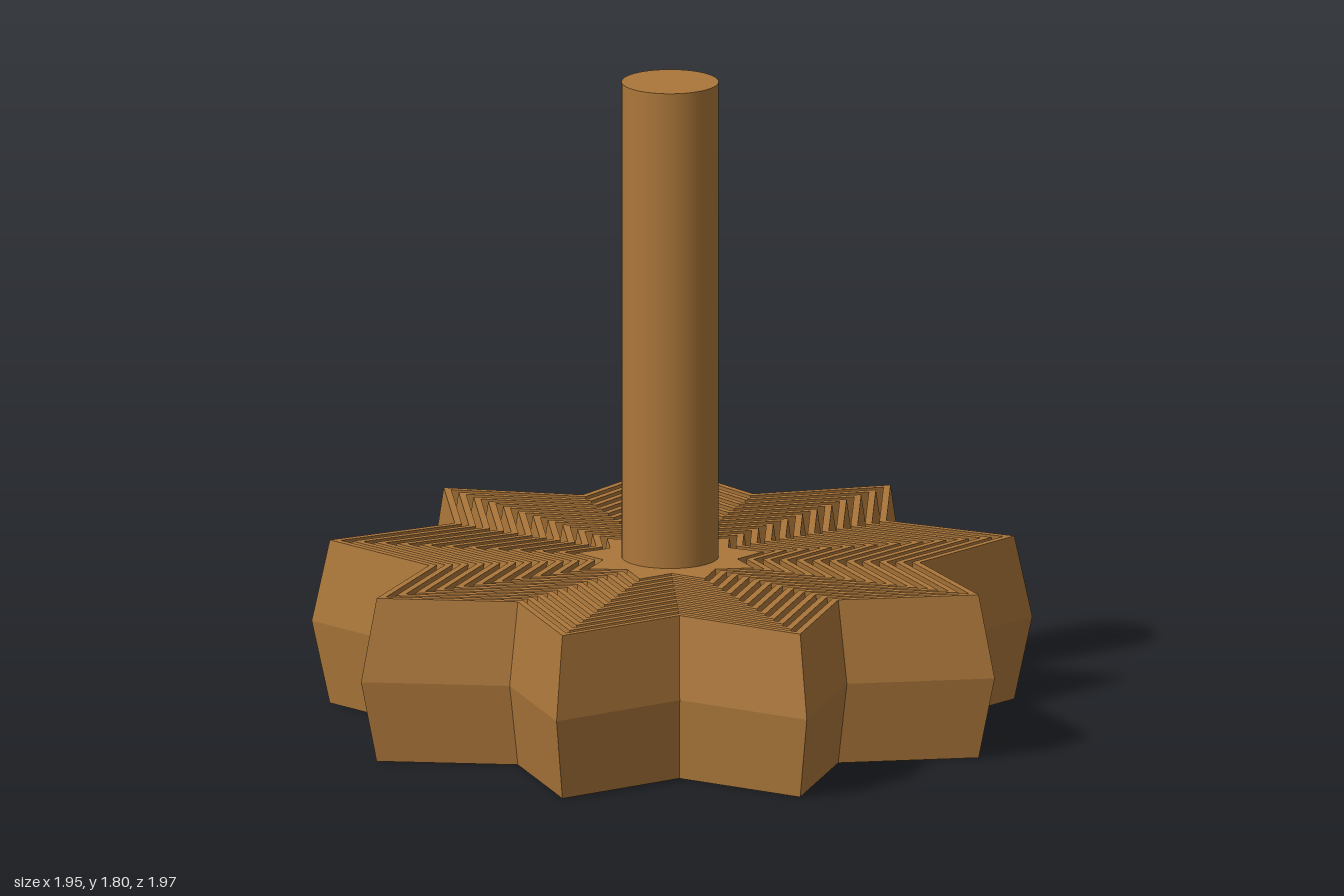
import * as THREE from 'three';

const POINTS = 9, HEIGHT = 0.46, BULGE = 0.05, WALL = 0.031, VALLEY = 0.717, TURN = -0.02;

// Sweeps a closed [radius, y] profile around a nine-pointed star
function starRing(profile) {
  const pos = [], index = [], n = profile.length, corners = POINTS * 2;
  for (let i = 0; i < corners; i++) {
    const a = Math.PI + TURN + (i * Math.PI) / POINTS;
    const k = i % 2 ? VALLEY : 1;
    for (const [r, y] of profile) pos.push(Math.cos(a) * r * k, y, Math.sin(a) * r * k);
  }
  for (let i = 0; i < corners; i++) {
    const next = (i + 1) % corners;
    for (let j = 0; j < n; j++) {
      const a = i * n + j, b = i * n + ((j + 1) % n);
      const c = next * n + j, d = next * n + ((j + 1) % n);
      index.push(a, b, c, b, d, c);
    }
  }
  const g = new THREE.BufferGeometry();
  g.setAttribute('position', new THREE.Float32BufferAttribute(pos, 3));
  g.setIndex(index);
  const flat = g.toNonIndexed();
  flat.computeVertexNormals();
  return flat;
}

export function createModel() {
  const group = new THREE.Group();
  group.name = 'starHead';
  const flatWood = new THREE.MeshStandardMaterial({ color: 0xac773a, flatShading: true });
  const wood = new THREE.MeshStandardMaterial({ color: 0xac773a });

  // Nested star shells around a solid core, drifting slightly off centre inwards
  const count = 12;
  for (let k = 0; k < count; k++) {
    const t = k / (count - 1);
    const core = k === count - 1;
    const r = THREE.MathUtils.lerp(1.0, 0.31, t);
    const outer = [[r - BULGE, 0], [r, HEIGHT / 2], [r - BULGE, HEIGHT]];
    const inner = core
      ? [[0, HEIGHT], [0, 0]]
      : outer.map(([x, y]) => [x - WALL, y]).reverse();
    const mesh = new THREE.Mesh(starRing([...outer, ...inner]), flatWood);
    mesh.name = core ? 'starCore' : `starShell${k + 1}`;
    mesh.position.set(THREE.MathUtils.lerp(0.023, 0.045, t), 0, THREE.MathUtils.lerp(-0.006, 0.025, t));
    group.add(mesh);
  }

  // Round post rising from the core
  const bottom = 0.4, top = 1.8;
  const post = new THREE.Mesh(new THREE.CylinderGeometry(0.133, 0.133, top - bottom, 48), wood);
  post.name = 'post';
  post.position.set(0.045, (top + bottom) / 2, 0.025);
  group.add(post);

  return group;
}
